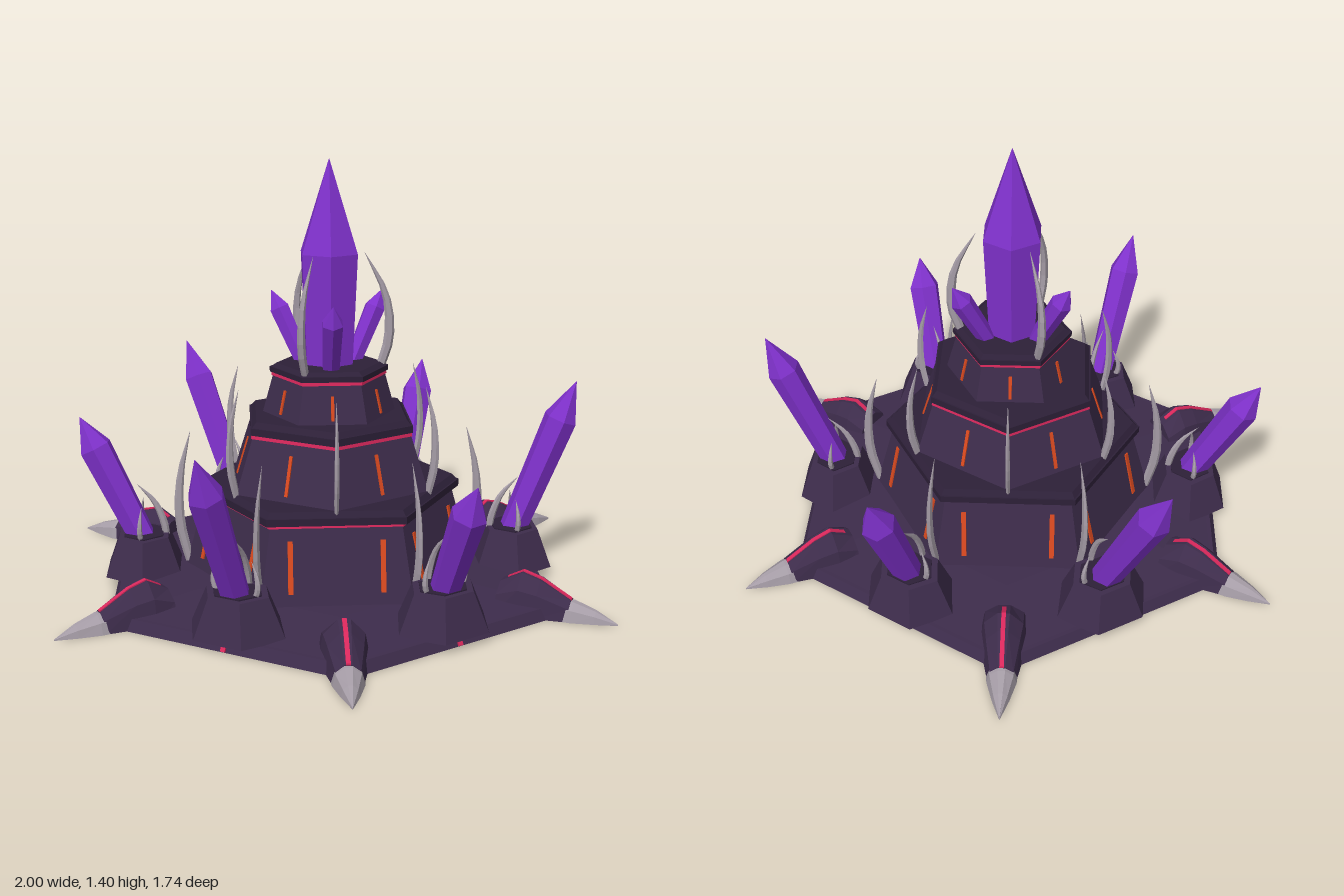
import * as THREE from 'three';

const mat = (name, color) => {
  const m = new THREE.MeshStandardMaterial({ color });
  m.name = name;
  return m;
};
const V = (x, y, z) => new THREE.Vector3(x, y, z);
const C30 = Math.cos(Math.PI / 6);

// Faceted skin over a row of rings, closed at both ends
function loft(rings) {
  const out = [];
  const tri = (...ps) => ps.forEach((p) => out.push(p.x, p.y, p.z));
  const n = rings[0].length;
  const centre = (ring) => ring.reduce((s, p) => s.add(p), V(0, 0, 0)).divideScalar(n);
  const first = rings[0], last = rings[rings.length - 1];
  const c0 = centre(first), c1 = centre(last);
  for (let j = 0; j < n; j++) {
    const k = (j + 1) % n;
    for (let i = 0; i + 1 < rings.length; i++) {
      const a = rings[i], b = rings[i + 1];
      tri(a[j], a[k], b[j]);
      tri(a[k], b[k], b[j]);
    }
    tri(c0, first[k], first[j]);
    tri(c1, last[j], last[k]);
  }
  const g = new THREE.BufferGeometry();
  g.setAttribute('position', new THREE.Float32BufferAttribute(out, 3));
  g.computeVertexNormals();
  return g;
}

// Horn along a path in the xy plane; radii holds [depth, width] per station
function horn(path, radii, sides) {
  return loft(path.map((p, i) => {
    const a = path[Math.max(0, i - 1)], b = path[Math.min(path.length - 1, i + 1)];
    const t = V(b[0] - a[0], b[1] - a[1], 0).normalize();
    return Array.from({ length: sides }, (_, j) => {
      const q = (j / sides) * Math.PI * 2, d = radii[i][0] * Math.cos(q);
      return V(p[0] + t.y * d, p[1] - t.x * d, -radii[i][1] * Math.sin(q));
    });
  }));
}

// Curved fang through a few [radius, height] points
function fang(points, depth, width) {
  const curve = new THREE.CatmullRomCurve3(points.map((p) => V(p[0], p[1], 0)));
  const pts = curve.getPoints(8);
  const size = (i) => Math.max(0.02, 0.65 + 0.9 * (i / 8) - 1.55 * (i / 8) ** 2);
  return horn(pts.map((p) => [p.x, p.y]), pts.map((_, i) => [depth * size(i), width * size(i)]), 6);
}

function crystal(length, r) {
  return horn([[0, 0], [0, length * 0.76], [0, length]],
    [[r * 0.82, r * 0.82], [r, r], [0.001, 0.001]], 6);
}

// Hexagonal frustum; turned puts its corners on the x axis
function hex(rTop, rBottom, y0, y1, turned) {
  const g = new THREE.CylinderGeometry(rTop, rBottom, y1 - y0, 6).toNonIndexed();
  g.translate(0, (y0 + y1) / 2, 0);
  if (turned) g.rotateY(Math.PI / 6);
  g.computeVertexNormals();
  return g;
}

export function createModel() {
  const model = new THREE.Group();
  model.name = 'crystalCitadel';
  const stone = mat('dark purple stone', 0x3d2c4b);
  const trim = mat('deep purple trim', 0x2d2038);
  const violet = mat('violet crystal', 0x7f31cb);
  const bone = mat('grey bone', 0xa59ca6);
  const pink = mat('pink glow', 0xd9285c);
  const orange = mat('orange glow', 0xd9491f);

  const add = (parent, name, geometry, material) => {
    const m = new THREE.Mesh(geometry, material);
    m.name = name;
    parent.add(m);
    return m;
  };
  // Group whose +x axis points outward at an angle measured from +x to +z
  const spoke = (name, degrees) => {
    const g = new THREE.Group();
    g.name = name;
    g.rotation.y = -THREE.MathUtils.degToRad(degrees);
    model.add(g);
    return g;
  };
  const aimCrystal = (parent, name, base, tip, r) => {
    const dir = tip.clone().sub(base), m = add(parent, name, crystal(dir.length(), r), violet);
    m.position.copy(base);
    m.quaternion.setFromUnitVectors(V(0, 1, 0), dir.normalize());
  };

  // Base slab
  add(model, 'baseRim', hex(0.8, 0.82, 0, 0.035, true), stone);
  add(model, 'baseDeck', hex(0.5, 0.8, 0.034, 0.055, true), stone);

  // Tower tiers, alternately turned by 30 degrees
  const tiers = [
    { y0: 0.05, y1: 0.31, rb: 0.48, rt: 0.41, ledge: 0.437, top: 0.345, turned: false, marks: [-0.145, 0.145], m0: 0.09, m1: 0.255, w: 0.016 },
    { y0: 0.34, y1: 0.54, rb: 0.36, rt: 0.29, ledge: 0.302, top: 0.575, turned: true, marks: [0], m0: 0.36, m1: 0.49, w: 0.011 },
    { y0: 0.57, y1: 0.715, rb: 0.22, rt: 0.18, ledge: 0.195, top: 0.738, turned: false, marks: [0], m0: 0.585, m1: 0.665, w: 0.01 },
  ];
  tiers.forEach((t, i) => {
    const n = i + 1, mid = (t.y1 + t.top) / 2;
    add(model, 'tierWall' + n, hex(t.rt, t.rb, t.y0, t.y1, t.turned), stone);
    add(model, 'tierGlowBand' + n, hex(t.rt + 0.008, t.rt + 0.01, t.y1 - 0.018, t.y1 - 0.006, t.turned), pink);
    add(model, 'tierLedge' + n, hex(t.ledge, t.ledge, t.y1 - 0.006, mid, t.turned), trim);
    add(model, 'tierLedgeCap' + n, hex(t.ledge - 0.022, t.ledge - 0.006, mid, t.top, t.turned), trim);
    const slope = ((t.rb - t.rt) * C30) / (t.y1 - t.y0), ym = (t.m0 + t.m1) / 2;
    for (let k = 0; k < 6; k++) {
      const side = spoke('tierSlots' + n, k * 60 + (t.turned ? 30 : 0));
      for (const z of t.marks) {
        const slot = add(side, 'slot', new THREE.BoxGeometry(0.008, t.m1 - t.m0, t.w), orange);
        slot.position.set(t.rb * C30 - slope * (ym - t.y0) + 0.001, ym, z);
        slot.rotation.z = Math.atan(slope);
      }
    }
  });

  // Fangs at the corners of the tower
  const lowFang = fang([[0.47, 0.06], [0.5, 0.2], [0.495, 0.36], [0.46, 0.51]], 0.021, 0.012);
  const midFang = fang([[0.355, 0.33], [0.378, 0.44], [0.375, 0.57], [0.345, 0.69]], 0.018, 0.011);
  const topFang = fang([[0.165, 0.71], [0.197, 0.82], [0.185, 0.96], [0.115, 1.1]], 0.021, 0.016);
  for (let k = 0; k < 6; k++) {
    add(spoke('lowerFang', k * 60 + 30), 'fang', lowFang, bone);
    add(spoke('middleFang', k * 60), 'fang', midFang, bone);
  }
  for (const a of [30, 150, 270]) add(spoke('crownFang', a), 'fang', topFang, bone);

  // Crown crystals
  const main = add(model, 'mainCrystal', horn([[0, 0.72], [0, 1.1], [0, 1.4]],
    [[0.085, 0.085], [0.103, 0.103], [0.001, 0.001]], 6), violet);
  main.position.x = 0;
  for (const a of [0, 120, 240]) {
    aimCrystal(spoke('crownCrystal', a), 'smallCrystal', V(0.09, 0.72, 0), V(0.213, 0.96, 0), 0.036);
  }

  // Corner claws: rings of [radius, half width, height]
  const clawRing = ([x, w, h]) => [[0, -1], [0.65, -0.8], [1, -0.25], [1, 0.25], [0.65, 0.8], [0, 1]]
    .map(([y, z]) => V(x, y * h, z * w));
  const clawBody = loft([[0.62, 0.078, 0.09], [0.69, 0.078, 0.128], [0.75, 0.067, 0.112], [0.85, 0.046, 0.06]].map(clawRing));
  const clawTip = loft([[0.8, 0.052, 0.062], [0.86, 0.047, 0.056], [0.93, 0.027, 0.036], [1, 0.001, 0.004]].map(clawRing));
  const ridge = loft([[0.64, 0.1], [0.69, 0.128], [0.75, 0.112], [0.85, 0.06]].map(([x, h]) =>
    [[-0.002, -1], [0.004, -1], [0.004, 1], [-0.002, 1]].map(([y, z]) => V(x, h + y, z * 0.007))));
  for (let k = 0; k < 6; k++) {
    const claw = spoke('cornerClaw', k * 60);
    add(claw, 'clawBody', clawBody, stone);
    add(claw, 'clawTip', clawTip, bone);
    add(claw, 'clawGlowLine', ridge, pink);
  }

  // Crystal pods at the middle of each side, with the tip of each crystal
  const tips = [[30, 0.71, 0.66, 0.42], [90, -0.03, 0.53, 0.81], [150, -0.735, 0.635, 0.43],
    [210, -0.69, 0.55, -0.455], [270, -0.065, 0.66, -0.87], [330, 0.7, 0.58, -0.41]];
  const innerFang = fang([[-0.075, 0.14], [-0.065, 0.2], [-0.035, 0.27], [0.02, 0.33]], 0.016, 0.012);
  const smallFang = fang([[0.06, 0.14], [0.078, 0.18], [0.075, 0.22], [0.055, 0.265]], 0.013, 0.011);
  for (const [a, x, y, z] of tips) {
    const pod = spoke('crystalPod', a);
    const body = add(pod, 'podBody', hex(0.108, 0.165, 0.035, 0.16, false), stone);
    const inset = add(pod, 'podInset', hex(0.085, 0.085, 0.158, 0.164, false), trim);
    for (const m of [body, inset]) {
      m.position.x = 0.62;
      m.scale.x = 0.87;
    }
    add(pod, 'podInnerFang', innerFang, bone).position.x = 0.62;
    for (const turn of [75, -75]) {
      const f = add(pod, 'podSideFang', smallFang, bone);
      f.position.x = 0.61;
      f.rotation.y = THREE.MathUtils.degToRad(turn);
    }
    const mark = add(pod, 'rimGlowMark', new THREE.BoxGeometry(0.008, 0.04, 0.016), pink);
    mark.position.set(0.703, 0.02, 0);
    mark.rotation.z = 0.46;
    const q = THREE.MathUtils.degToRad(a);
    aimCrystal(model, 'podCrystal', V(0.62 * Math.cos(q), 0.13, 0.62 * Math.sin(q)), V(x, y, z), 0.056);
  }
  return model;
}
